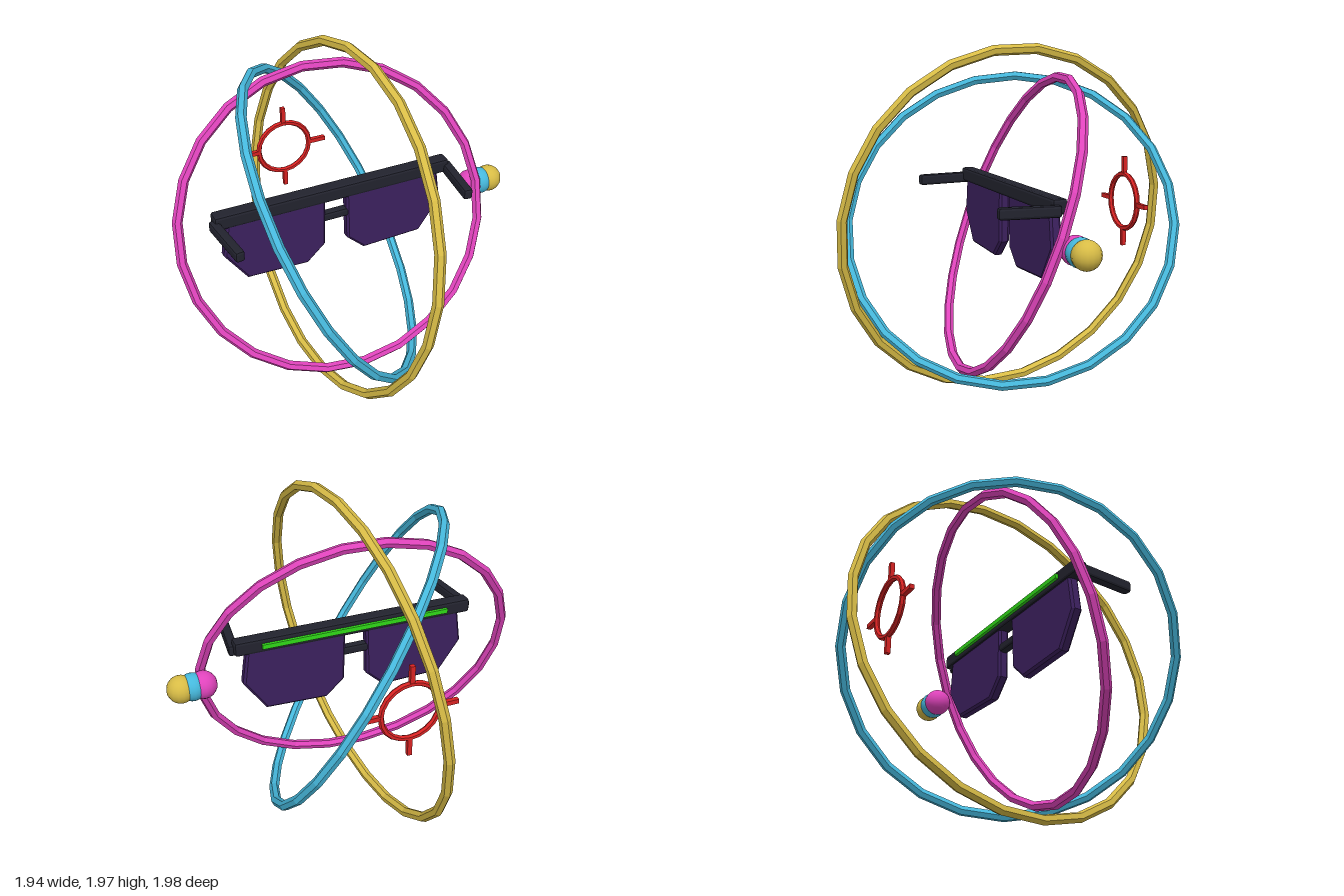
import * as THREE from 'three';
import { RoundedBoxGeometry } from 'three/addons/geometries/RoundedBoxGeometry.js';

const CX = -0.087; // shared centre line of rings, glasses and reticle
const CY = 0.993;

function material(name, color, flatShading = true) {
  const m = new THREE.MeshStandardMaterial({ color, flatShading });
  m.name = name;
  return m;
}

export function createModel() {
  const gold = material('gold', 0xd8bc46);
  const cyan = material('cyan', 0x46b8dc);
  const magenta = material('magenta', 0xe044bc);
  const black = material('frame black', 0x22232e);
  const purple = material('lens purple', 0x3c205e);
  const green = material('glow green', 0x30d818);
  const red = material('reticle red', 0xd82222);

  const model = new THREE.Group();
  model.name = 'orbitingGlasses';

  function add(parent, name, geometry, mat, x = 0, y = 0, z = 0) {
    const mesh = new THREE.Mesh(geometry, mat);
    mesh.name = name;
    mesh.position.set(x, y, z);
    parent.add(mesh);
    return mesh;
  }

  // Orbit rings: each is a low-poly torus facing along a normal, with a vertex towards "start"
  function orbit(name, mat, radius, tube, normal, start) {
    const n = new THREE.Vector3(...normal).normalize();
    const u = new THREE.Vector3(...start);
    u.addScaledVector(n, -u.dot(n)).normalize();
    const v = new THREE.Vector3().crossVectors(n, u);
    const ring = add(model, name, new THREE.TorusGeometry(radius, tube, 6, 24), mat, CX, CY, 0);
    ring.quaternion.setFromRotationMatrix(new THREE.Matrix4().makeBasis(u, v, n));
  }
  orbit('goldOrbit', gold, 0.972, 0.029, [0.985, -0.15, -0.09], [0, -1, 0.095]);
  orbit('cyanOrbit', cyan, 0.916, 0.028, [0.778, 0.497, 0.386], [0, 1, 0]);
  orbit('magentaOrbit', magenta, 0.858, 0.028, [-0.1, 0.352, 0.93], [-1, -0.05, 0]);

  // Three overlapping beads at the side
  const beads = new THREE.Group();
  beads.name = 'beads';
  model.add(beads);
  [['magentaBead', 0xe044bc, magenta, 0.772], ['cyanBead', 0x46b8dc, cyan, 0.831], ['goldBead', 0xd8bc46, gold, 0.892]]
    .forEach(([name, color, base, x]) => {
      const smooth = material(base.name + ' smooth', color, false);
      add(beads, name, new THREE.SphereGeometry(0.076, 16, 12), smooth, x, 1.0, 0);
    });

  // Glasses, built around their own centre line
  const glasses = new THREE.Group();
  glasses.name = 'glasses';
  glasses.position.x = CX;
  model.add(glasses);
  const bar = (w, h, d) => new RoundedBoxGeometry(w, h, d, 1, 0.014);
  add(glasses, 'browBar', bar(1.37, 0.08, 0.08), black, 0, 1.185, 0);
  add(glasses, 'bridge', bar(0.17, 0.052, 0.05), black, 0, 1.04, 0);
  add(glasses, 'glowStrip', new THREE.BoxGeometry(1.08, 0.026, 0.024), green, 0, 1.187, -0.045);

  const bevel = 0.012;
  const outline = [[0.072, 1.17], [0.606, 1.17], [0.634, 0.967], [0.515, 0.796], [0.176, 0.784], [0.079, 0.874]];
  for (const side of [-1, 1]) {
    const label = side > 0 ? 'left' : 'right';
    // Lens with bevelled edge
    const points = outline.map(([x, y]) => new THREE.Vector2(side * x, y));
    const lens = new THREE.ExtrudeGeometry(new THREE.Shape(points), {
      depth: 0.036, bevelEnabled: true, bevelSize: bevel, bevelThickness: bevel, bevelSegments: 1,
    });
    add(glasses, label + 'Lens', lens, purple, 0, 0, -0.018);
    // Temple arm, angled slightly inwards
    const arm = add(glasses, label + 'Temple', bar(0.052, 0.062, 0.325), black, side * 0.667, 1.165, 0.158);
    arm.rotation.y = -side * 0.11;
  }

  // Reticle: a ring with four ticks
  const reticle = new THREE.Group();
  reticle.name = 'reticle';
  reticle.position.set(CX, 1.07, -0.722);
  model.add(reticle);
  add(reticle, 'reticleRing', new THREE.TorusGeometry(0.16, 0.016, 6, 20), red);
  for (let i = 0; i < 4; i++) {
    const a = (i * Math.PI) / 2;
    const tick = add(reticle, 'reticleTick', new THREE.BoxGeometry(0.11, 0.025, 0.025), red,
      0.207 * Math.cos(a), 0.207 * Math.sin(a), 0);
    tick.rotation.z = a;
  }

  return model;
}
